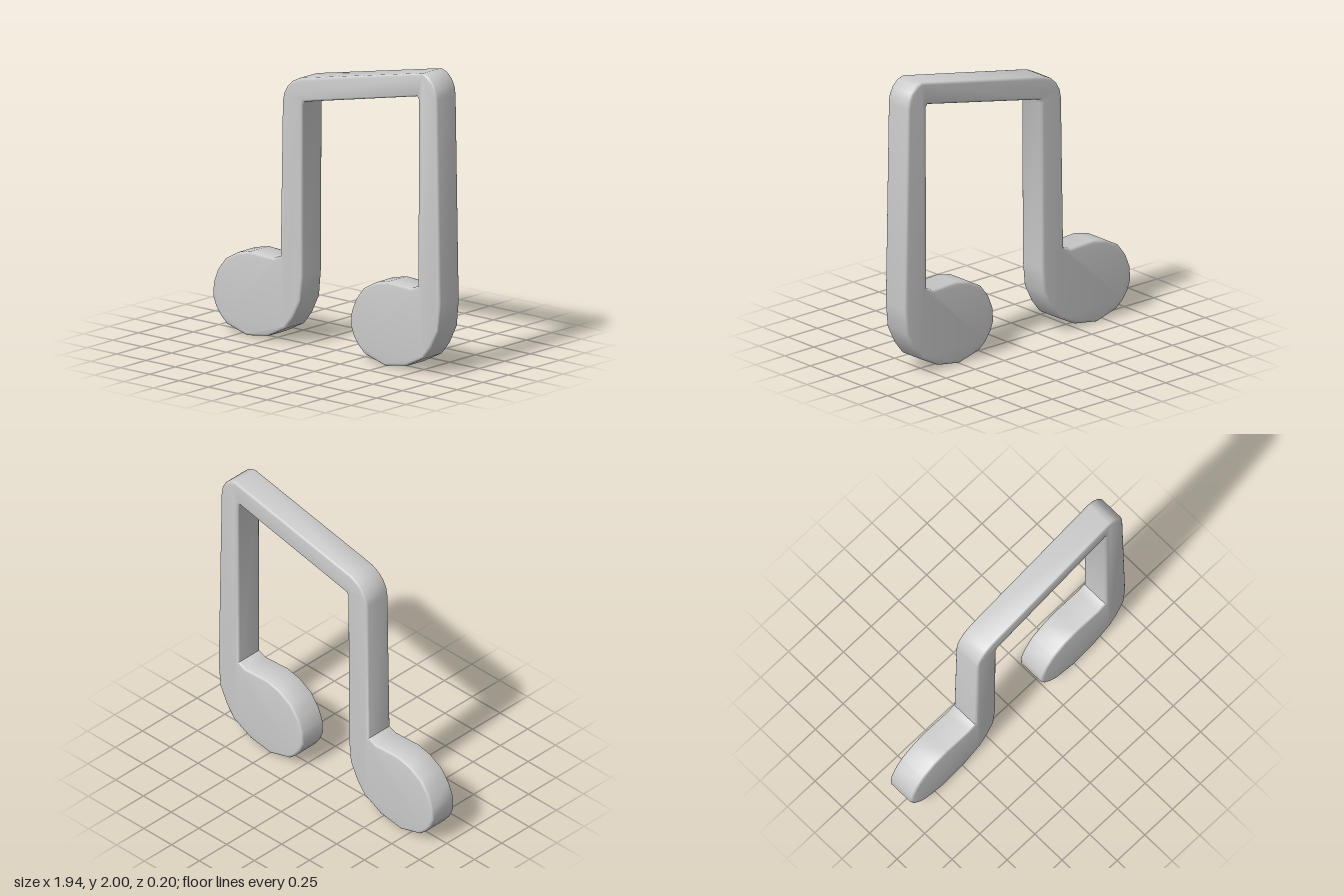
import * as THREE from 'three';
import { toCreasedNormals } from 'three/addons/utils/BufferGeometryUtils.js';

const HALF_DEPTH = 0.1;
const BEVEL = 0.018;
const NOTE_SPACING = 1.175;

// Note head, counter-clockwise from the inner foot of its stem to the outer side
const head = [
  [-0.395, 0.58], [-0.455, 0.558], [-0.65, 0.568], [-0.76, 0.543], [-0.865, 0.485],
  [-0.93, 0.4], [-0.965, 0.315], [-0.97, 0.22], [-0.945, 0.155], [-0.905, 0.1],
  [-0.85, 0.052], [-0.68, 0.004], [-0.5, 0.032], [-0.35, 0.108], [-0.285, 0.19],
  [-0.225, 0.31], [-0.209, 0.48],
];
// Underside of the beam, from the left stem to the right stem
const beamUnderside = [[-0.203, 1.615], [-0.19, 1.638], [0.77, 1.838], [0.782, 1.82]];
// Rounded top corners and beam top, from the right stem to the left stem
const beamTop = [
  [0.94, 1.84], [0.932, 1.895], [0.907, 1.945], [0.867, 1.984], [0.82, 2],
  [-0.235, 1.788], [-0.29, 1.762], [-0.335, 1.722], [-0.366, 1.668], [-0.377, 1.61],
];

export function createModel() {
  const group = new THREE.Group();
  group.name = 'beamedNotes';

  // One continuous outline: left head, beam underside, right head, beam top
  const rightHead = head.map(([x, y]) => [x + NOTE_SPACING, y]);
  const outline = [...head, ...beamUnderside, ...rightHead, ...beamTop];
  const shape = new THREE.Shape(outline.map(([x, y]) => new THREE.Vector2(x, y)));

  // Thick slab with a small rounded edge on front and back
  const slab = new THREE.ExtrudeGeometry(shape, {
    depth: 2 * (HALF_DEPTH - BEVEL),
    bevelThickness: BEVEL,
    bevelSize: BEVEL,
    bevelOffset: -BEVEL,
    bevelSegments: 4,
  });
  slab.translate(0, 0, BEVEL - HALF_DEPTH);

  const notes = new THREE.Mesh(
    toCreasedNormals(slab, 0.7),
    new THREE.MeshStandardMaterial({ color: 0xcccccc }),
  );
  notes.name = 'headsStemsAndBeam';
  group.add(notes);
  return group;
}
